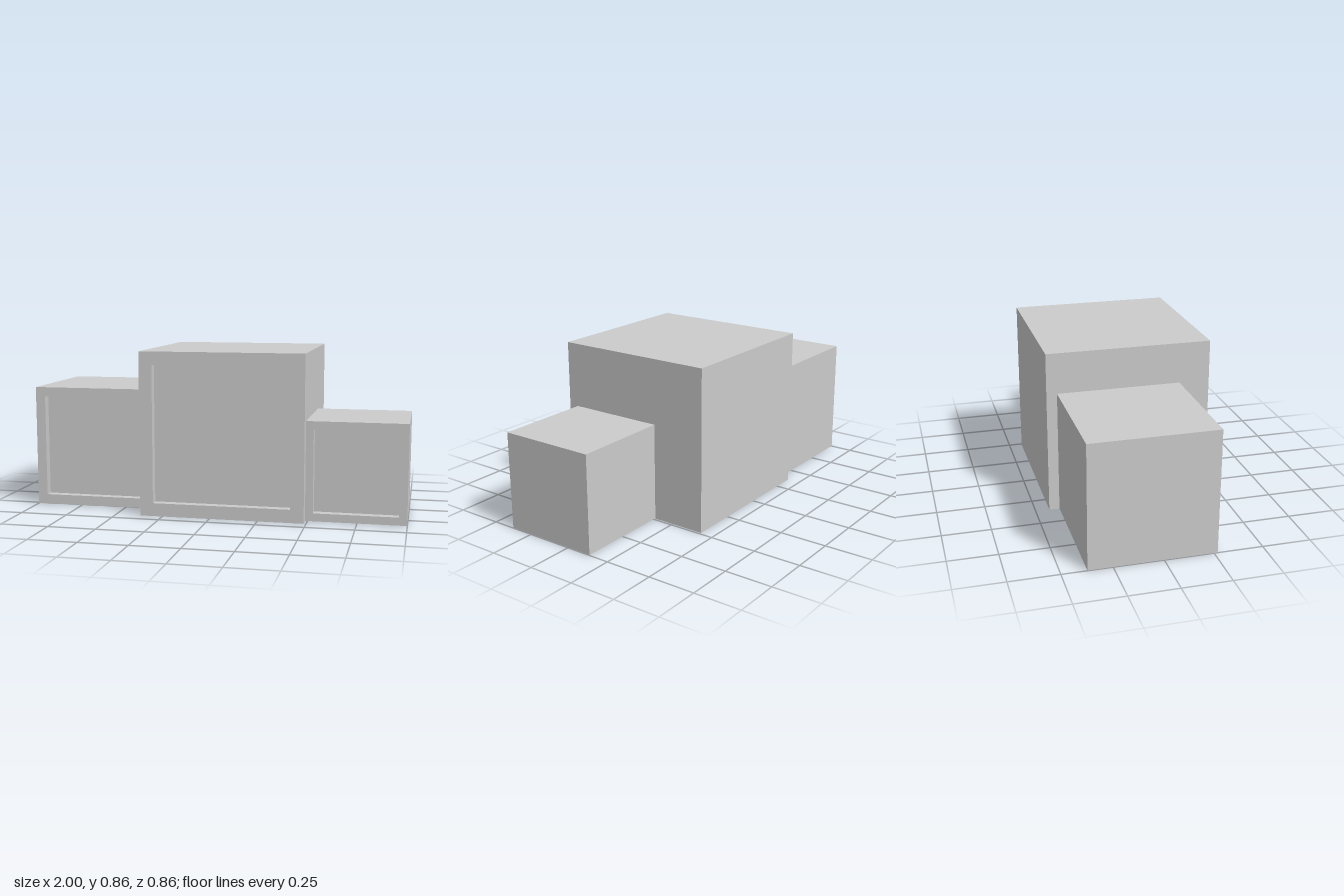
import * as THREE from 'three';

const material = new THREE.MeshStandardMaterial({ color: 0xcccccc, flatShading: true });

// Cube with a shallow square recess in its front, skinned over square rings
function recessedCube(name, size, x, y, z) {
  const half = size / 2, inner = half - size * 0.08, recess = 0.045;
  const rings = [
    [half, -half],           // back edge
    [half, half],            // front edge
    [inner, half],           // rim's inner edge
    [inner, half - recess],  // recess floor
  ].map(([r, d]) => [[-r, -r, d], [r, -r, d], [r, r, d], [-r, r, d]]);

  const positions = [];
  const quad = (a, b, c, d) => positions.push(...a, ...b, ...c, ...a, ...c, ...d);
  for (let i = 0; i < rings.length - 1; i++) {
    for (let k = 0; k < 4; k++) {
      const n = (k + 1) % 4;
      quad(rings[i][k], rings[i][n], rings[i + 1][n], rings[i + 1][k]);
    }
  }
  quad(...rings[3]);                   // recess floor
  quad(...rings[0].slice().reverse()); // back face

  const geometry = new THREE.BufferGeometry();
  geometry.setAttribute('position', new THREE.Float32BufferAttribute(positions, 3));
  geometry.computeVertexNormals();
  const mesh = new THREE.Mesh(geometry, material);
  mesh.name = name;
  mesh.position.set(x, y + half, z);
  return mesh;
}

export function createModel() {
  const group = new THREE.Group();
  group.name = 'cubeCluster';
  // The side cubes sit a hair higher so the overlapping bases stay clean
  group.add(
    recessedCube('largeCentreCube', 0.856, 0.06, 0, 0),
    recessedCube('mediumRightCube', 0.642, -0.679, 0.001, -0.053),
    recessedCube('smallLeftCube', 0.513, 0.743, 0.002, 0.118),
  );
  return group;
}
